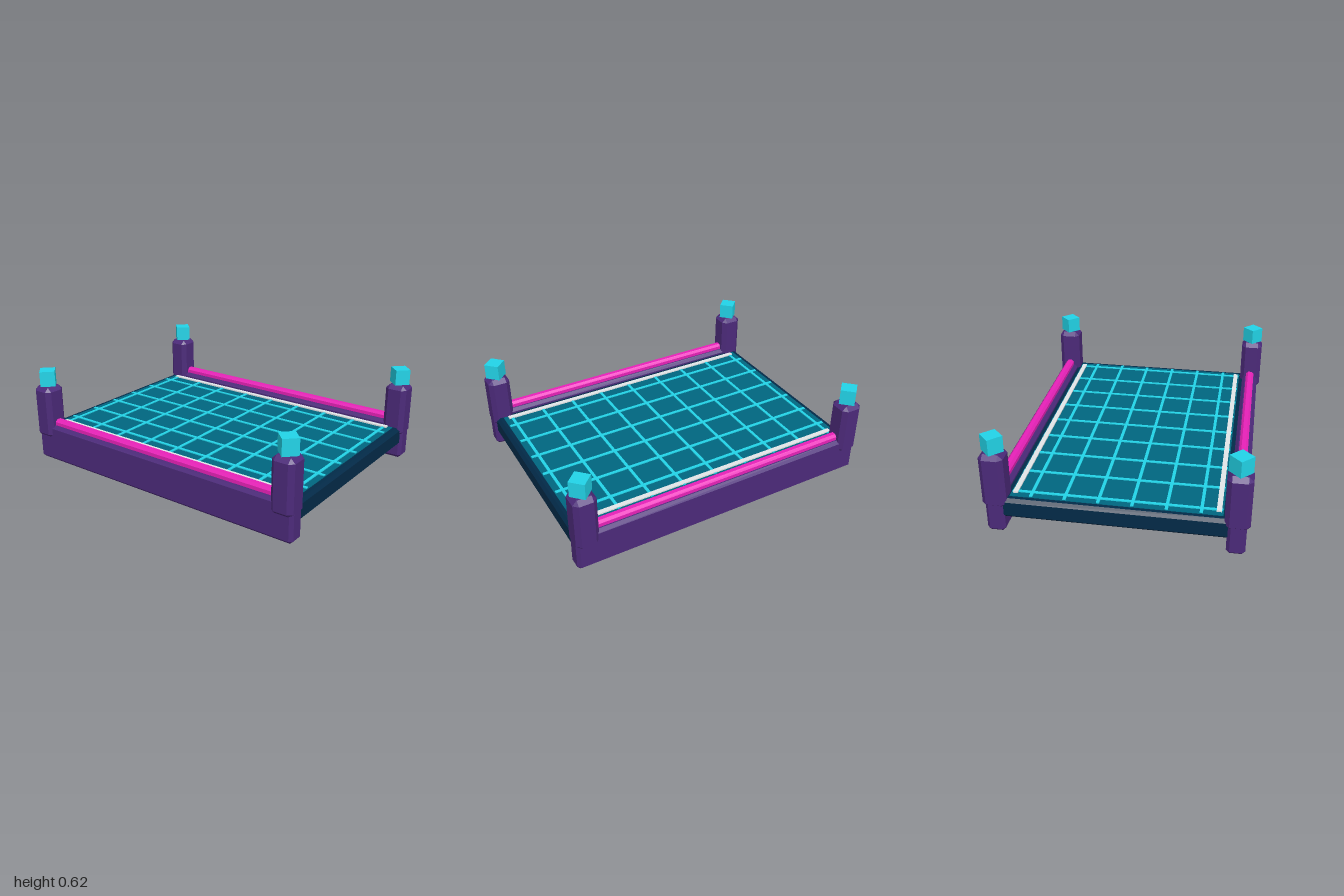
import * as THREE from 'three';
import { ConvexGeometry } from 'three/addons/geometries/ConvexGeometry.js';

const mat = (name, color) => {
  const m = new THREE.MeshStandardMaterial({ color });
  m.name = name;
  return m;
};

// Box with every edge cut by a flat bevel c
function chamferBox(w, h, d, c) {
  const half = [w / 2, h / 2, d / 2];
  const points = [];
  for (const sx of [-1, 1]) for (const sy of [-1, 1]) for (const sz of [-1, 1]) {
    const s = [sx, sy, sz];
    for (let full = 0; full < 3; full++) {
      points.push(new THREE.Vector3(...s.map((v, i) => v * (half[i] - (i === full ? 0 : c)))));
    }
  }
  return new ConvexGeometry(points);
}

export function createModel() {
  const model = new THREE.Group();
  model.name = 'arenaPlatform';

  const purple = mat('purple', 0x4c2a7a);
  const navy = mat('navy', 0x022a48);
  const teal = mat('teal', 0x006680);
  const cyan = mat('cyan', 0x22d4e8);
  const magenta = mat('magenta', 0xec22bc);
  const paleGrey = mat('paleGrey', 0xe2e6e8);

  const add = (name, geometry, material, x, y, z) => {
    const mesh = new THREE.Mesh(geometry, material);
    mesh.name = name;
    mesh.position.set(x, y, z);
    model.add(mesh);
    return mesh;
  };

  // Thin deck, open below, with its floor panel
  add('deck', new THREE.BoxGeometry(1.34, 0.012, 1.9), navy, 0, 0.214, 0);
  add('floorPanel', new THREE.BoxGeometry(1.24, 0.008, 1.88), teal, 0, 0.222, 0);

  // Beams across the front and back ends
  const beam = chamferBox(1.34, 0.128, 0.07, 0.02);
  for (const end of [-1, 1]) add(end > 0 ? 'frontBeam' : 'backBeam', beam, navy, 0, 0.159, end * 0.9475);

  // Floor grid
  const longLine = new THREE.BoxGeometry(0.019, 0.008, 1.87);
  for (let i = 0; i < 6; i++) add('gridLineLong', longLine, cyan, (i - 2.5) * 0.198, 0.228, 0);
  const crossLine = new THREE.BoxGeometry(1.23, 0.008, 0.019);
  for (let i = -4; i <= 4; i++) add('gridLineCross', crossLine, cyan, 0, 0.2275, i * 0.222);

  const strip = new THREE.BoxGeometry(0.03, 0.009, 1.82);
  const rail = chamferBox(0.11, 0.25, 1.996, 0.02);
  const lightBar = chamferBox(0.056, 0.06, 1.76, 0.015);
  const post = chamferBox(0.146, 0.352, 0.144, 0.028);
  const cube = new THREE.BoxGeometry(0.097, 0.102, 0.097);

  for (const side of [-1, 1]) {
    const label = side > 0 ? 'left' : 'right';
    // Side border strip, rail and glowing bar
    add(label + 'BorderStrip', strip, paleGrey, side * 0.594, 0.2315, 0);
    add(label + 'Rail', rail, purple, side * 0.7, 0.127, 0);
    add(label + 'LightBar', lightBar, magenta, side * 0.7, 0.26, 0);

    // Corner posts with turned lamp cubes
    for (const end of [-1, 1]) {
      const corner = label + (end > 0 ? 'Front' : 'Back');
      add(corner + 'Post', post, purple, side * 0.701, 0.338, end * 0.928);
      add(corner + 'LampCube', cube, cyan, side * 0.7, 0.567, end * 0.928).rotation.y = Math.PI / 4;
    }
  }
  return model;
}
